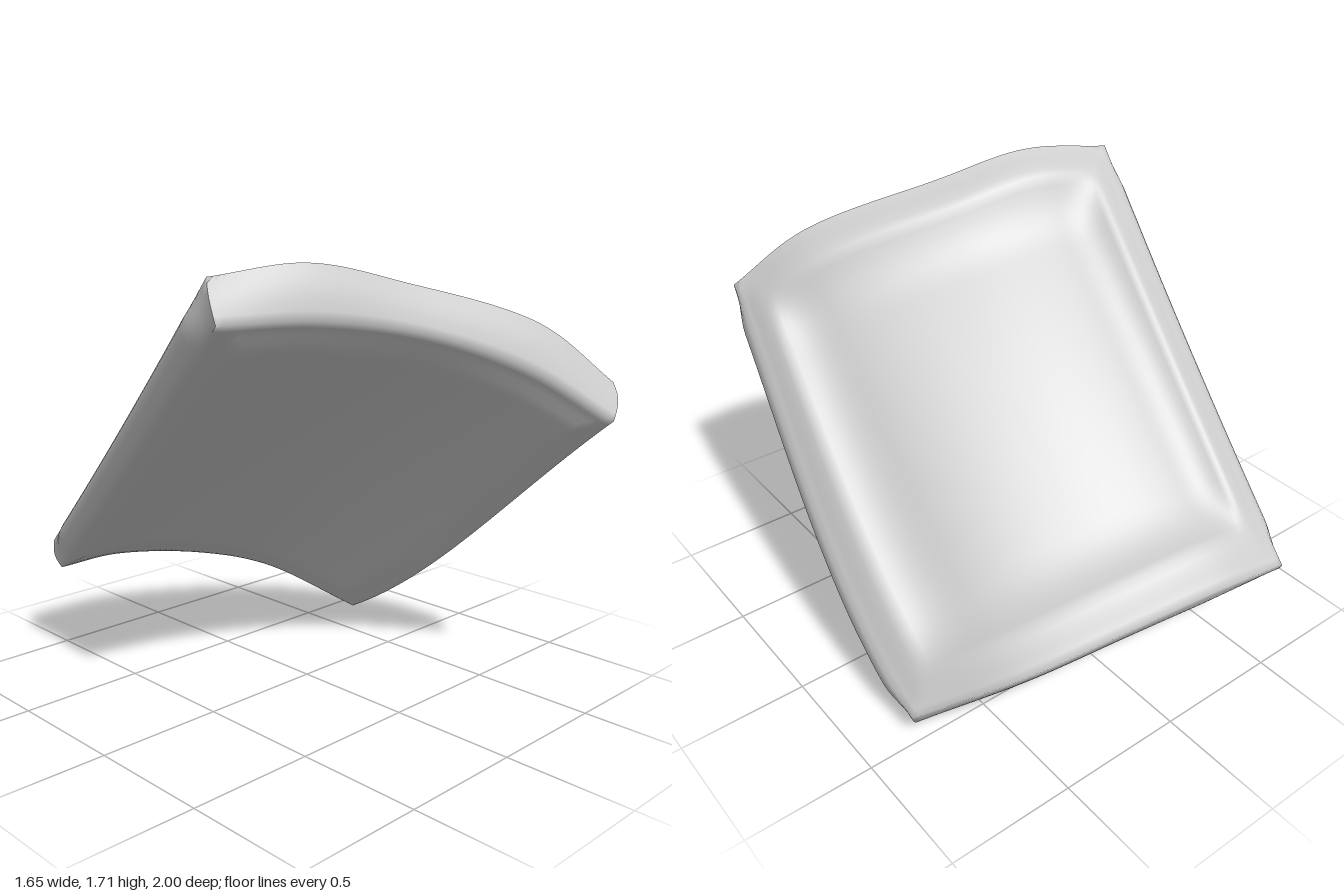
import * as THREE from 'three';
import { mergeVertices, toCreasedNormals } from 'three/addons/utils/BufferGeometryUtils.js';

const { smoothstep, clamp, lerp } = THREE.MathUtils;
const curve = (...pts) => new THREE.CatmullRomCurve3(pts.map(p => new THREE.Vector3(...p)));

// End edges of the slab, each running from right to left
const backTop = curve([-0.54, 0.48, -1], [-0.23, 0.505, -0.97], [0.13, 0.44, -0.88], [0.5, 0.31, -0.73], [0.81, 0.11, -0.48]);
const backBottom = curve([-0.57, 0.38, -0.9], [-0.29, 0.38, -0.89], [0.1, 0.32, -0.79], [0.4, 0.22, -0.67], [0.72, 0, -0.42]);
const frontTop = curve([-0.79, 1.68, 0.36], [-0.45, 1.715, 0.46], [-0.1, 1.64, 0.56], [0.4, 1.475, 0.79], [0.65, 1.255, 0.94]);
const frontBottom = curve([-0.83, 1.53, 0.45], [-0.45, 1.52, 0.53], [-0.05, 1.45, 0.66], [0.3, 1.31, 0.83], [0.57, 1.12, 1]);

// Outward directions of the side and end walls
const across = new THREE.Vector3(0.9, -0.25, 0.35);
const along = new THREE.Vector3(-0.12, 0.63, 0.76);

// Point inside the arched slab: u across, t through the thickness, s from back to front
function slabPoint(u, t, s) {
  const bottom = backBottom.getPoint(u).lerp(frontBottom.getPoint(u), s);
  const top = backTop.getPoint(u).lerp(frontTop.getPoint(u), s);
  const p = bottom.lerp(top, t);
  // The crown rises midway along the length; the left edge sags nearer the back
  const bow = 4 * s * (1 - s);
  const sag = 6.75 * s * (1 - s) ** 2 * u * u;
  const crown = Math.sin(Math.PI * u) * (0.5 + 0.5 * t);
  p.x += 0.015 * bow + 0.03 * sag;
  p.y += 0.05 * bow * crown - 0.055 * sag;
  p.z -= 0.02 * bow * crown;
  return p;
}

// Steep at the lip, then easing out into the pan floor
const lip = d => 1 - (1 - clamp((d - 0.085) / 0.14, 0, 1)) ** 2.5;

// Rounded rim around a sunken pan, as a fraction of the thickness
function topHeight(u, s) {
  const edge = Math.min(u, 1 - u, s, 1 - s);
  const pan = lip(u) * lip(1 - u) * lip(s) * lip(1 - s);
  return 0.95 + 0.11 * smoothstep(edge, 0, 0.07) - 0.46 * pan;
}

// Underside, softened towards its edges
const bottomHeight = (u, s) => -0.15 * smoothstep(Math.min(u, 1 - u, s, 1 - s), 0, 0.08);

// -1 or 1 on the two outer walls, 0 inside
const wall = v => (Math.abs(v) > 0.499 ? Math.sign(v) : 0);

function slabGeometry() {
  let geometry = new THREE.BoxGeometry(1, 1, 1, 60, 6, 60);
  geometry.deleteAttribute('normal');
  geometry.deleteAttribute('uv');
  geometry = mergeVertices(geometry);
  const pos = geometry.attributes.position;
  for (let i = 0; i < pos.count; i++) {
    const x = pos.getX(i), z = pos.getZ(i);
    const u = x + 0.5, t = pos.getY(i) + 0.5, s = z + 0.5;
    const p = slabPoint(u, lerp(bottomHeight(u, s), topHeight(u, s), t), s);
    // Walls swell at mid thickness, less so at the corners
    const swell = Math.sin(Math.PI * t);
    const corner = 0.3 + 0.7 * smoothstep(Math.min(s, 1 - s), 0, 0.1);
    p.addScaledVector(across, 0.04 * swell * corner * wall(x));
    p.addScaledVector(along, 0.012 * swell * wall(z));
    pos.setXYZ(i, p.x, p.y, p.z);
  }
  return toCreasedNormals(geometry, 1.4);
}

export function createModel() {
  const group = new THREE.Group();
  group.name = 'archedPanel';
  const slab = new THREE.Mesh(slabGeometry(), new THREE.MeshStandardMaterial({ color: 0xcccccc }));
  slab.name = 'rimmedCurvedSlab';
  group.add(slab);
  return group;
}
